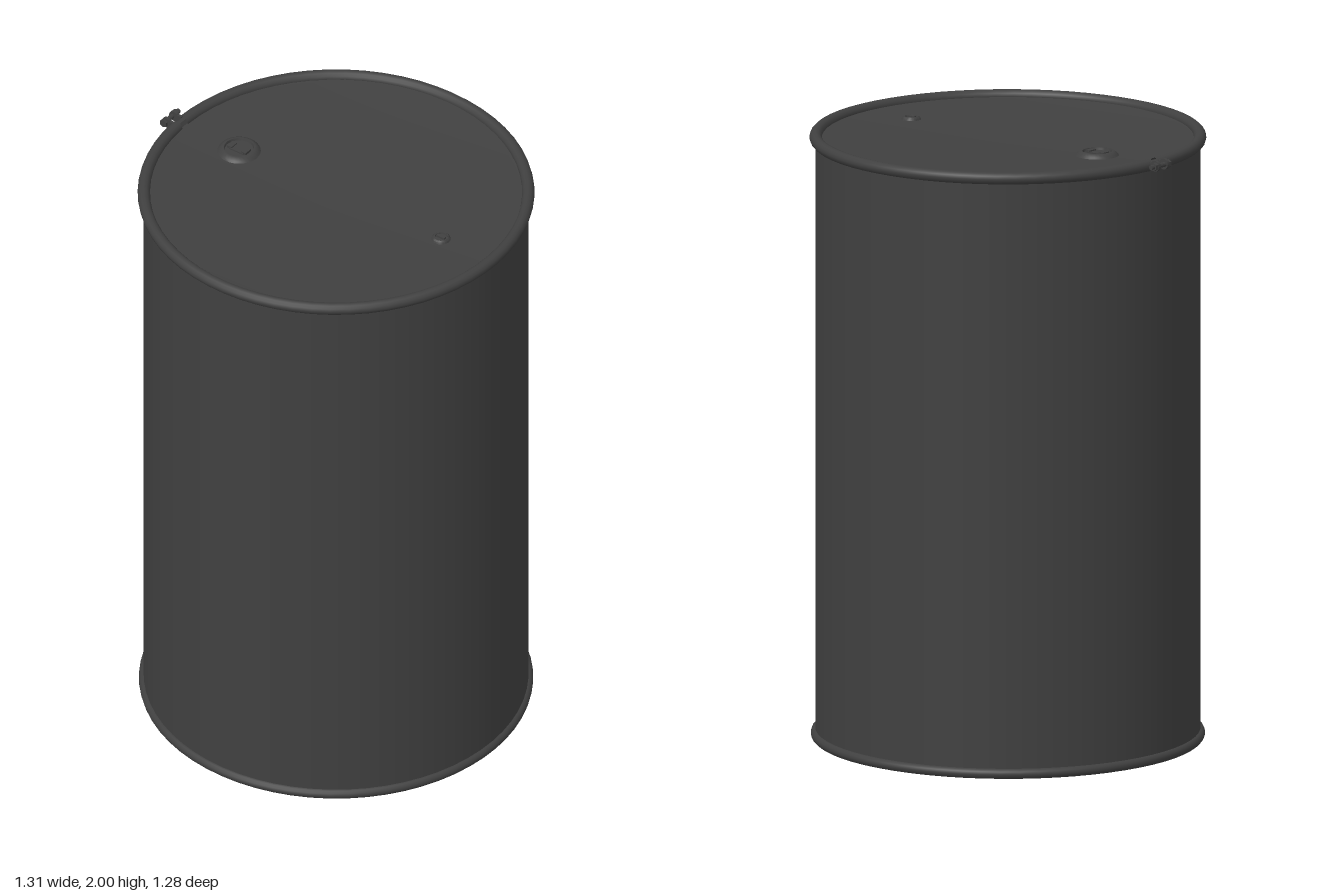
import * as THREE from 'three';
import { toCreasedNormals } from 'three/addons/utils/BufferGeometryUtils.js';

const CX = 0.017; // drum axis; the clamp bolt sticks out on the -x side
const SEG = 64;

export function createModel() {
  const model = new THREE.Group();
  const paint = new THREE.MeshStandardMaterial({ color: 0x404040 });
  const paintDouble = new THREE.MeshStandardMaterial({ color: 0x404040, side: THREE.DoubleSide });

  function add(name, geometry, x = 0, y = 0, z = 0, parent = model, material = paint) {
    const mesh = new THREE.Mesh(geometry, material);
    mesh.name = name;
    mesh.position.set(x, y, z);
    parent.add(mesh);
    return mesh;
  }
  function lathe(points, segments = SEG) {
    const profile = points.map(([r, y]) => new THREE.Vector2(r, y));
    return toCreasedNormals(new THREE.LatheGeometry(profile, segments), 0.6);
  }

  // Straight wall
  add('drumWall', new THREE.CylinderGeometry(0.619, 0.619, 1.955, SEG, 1, true), CX, 0.9925, 0, model, paintDouble);

  // Bottom plate and its rolled rim
  add('bottomPlate', lathe([[0, 0.008], [0.612, 0.008], [0.62, 0.03]]), CX, 0, 0, model, paintDouble);
  const bottomRim = new THREE.TorusGeometry(0.617, 0.017, 12, SEG);
  bottomRim.rotateX(Math.PI / 2);
  add('bottomRim', bottomRim, CX, 0.017, 0);

  // Lid: flat pan with a lip that curls over the wall
  add('lid', lathe([
    [0.625, 1.965], [0.626, 1.988], [0.62, 1.992], [0.61, 1.989], [0.603, 1.976], [0.59, 1.974], [0, 1.974],
  ]), CX, 0, 0, model, paintDouble);

  // Split clamping ring, its gap facing -x
  const gap = 0.05;
  const ring = new THREE.TorusGeometry(0.618, 0.02, 12, SEG, Math.PI * 2 - gap);
  ring.rotateZ(Math.PI + gap / 2);
  ring.rotateX(Math.PI / 2);
  add('clampRing', ring, CX, 1.977, 0, model, paintDouble);

  // Lugs and bolt that pull the ring ends together
  const clamp = new THREE.Group();
  clamp.name = 'clampBolt';
  clamp.position.set(-0.638, 1.981, 0);
  model.add(clamp);
  function along(name, radius, length, sides, x, z) {
    const g = new THREE.CylinderGeometry(radius, radius, length, sides);
    g.rotateX(Math.PI / 2);
    return add(name, toCreasedNormals(g, 0.6), x, 0, z, clamp);
  }
  for (const s of [-1, 1]) {
    along('lug', 0.018, 0.01, 16, 0, s * 0.021);
    add('lugArm', new THREE.BoxGeometry(0.03, 0.026, 0.01), 0.015, -0.003, s * 0.021, clamp);
  }
  along('boltShank', 0.008, 0.075, 12, -0.005, -0.002);
  along('boltHead', 0.014, 0.012, 6, -0.005, -0.033);
  along('boltNut', 0.014, 0.009, 6, -0.005, 0.031);
  along('boltTip', 0.008, 0.014, 12, -0.005, -0.044);

  // Large threaded plug: flange, dished cap, grip bar with two end blocks
  const plug = new THREE.Group();
  plug.name = 'largePlug';
  plug.position.set(-0.367, 1.974, 0);
  model.add(plug);
  add('flange', lathe([
    [0.07, 0], [0.066, 0.006], [0.054, 0.014], [0.048, 0.014], [0.046, 0.006], [0, 0.006],
  ], 32), 0, 0, 0, plug);
  add('gripBar', new THREE.BoxGeometry(0.056, 0.005, 0.036), 0, 0.0075, 0, plug);
  for (const s of [-1, 1]) {
    add('gripBlock', new THREE.BoxGeometry(0.018, 0.008, 0.03), s * 0.028, 0.01, 0, plug);
  }

  // Small vent plug with a single grip
  const vent = new THREE.Group();
  vent.name = 'smallPlug';
  vent.position.set(0.433, 1.974, 0);
  model.add(vent);
  add('ventCap', lathe([
    [0.031, 0], [0.029, 0.006], [0.024, 0.01], [0.02, 0.01], [0.019, 0.005], [0, 0.005],
  ], 24), 0, 0, 0, vent);
  add('ventGrip', new THREE.BoxGeometry(0.032, 0.007, 0.011), 0, 0.008, 0, vent);

  return model;
}
